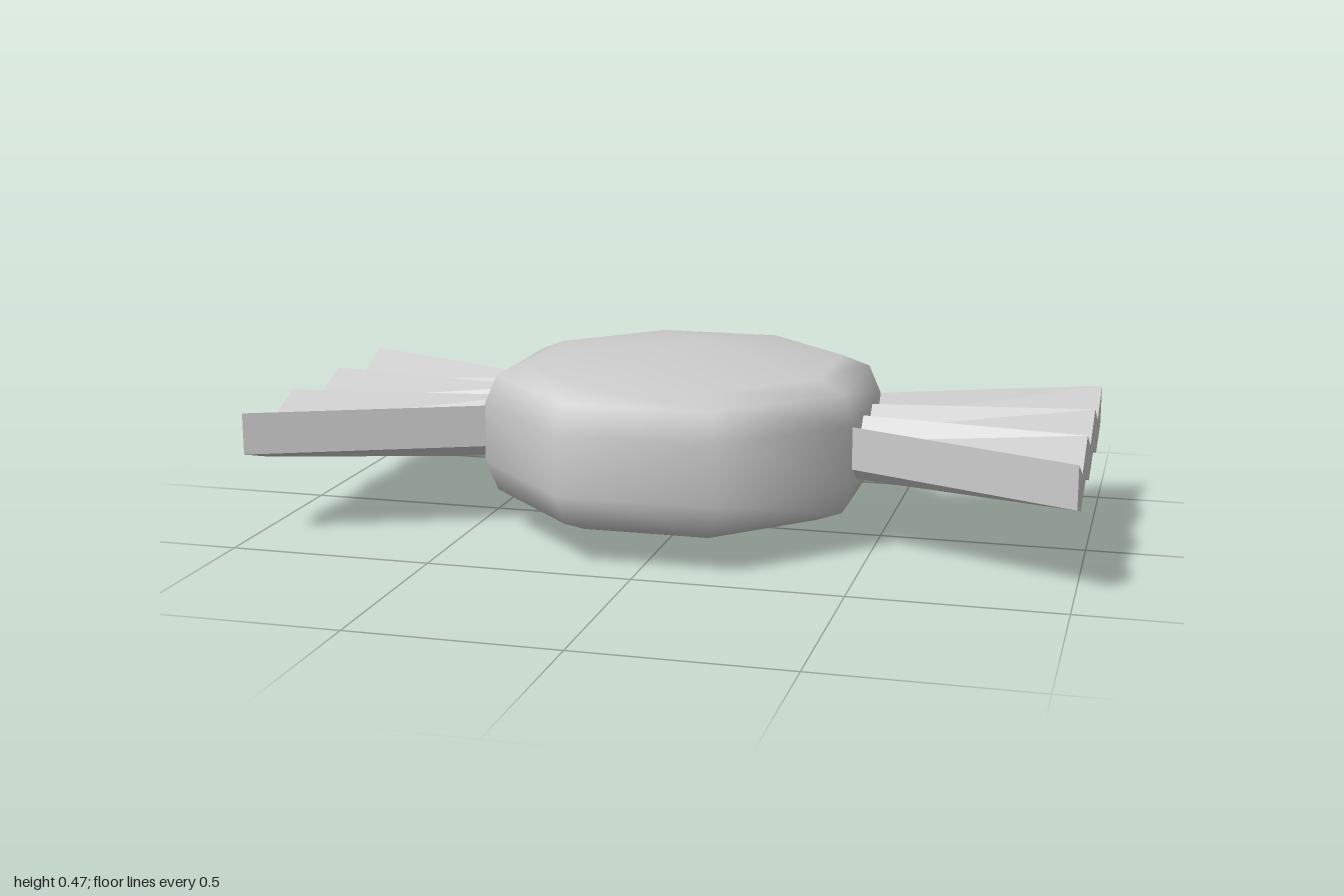
import * as THREE from 'three';
import { mergeVertices } from 'three/addons/utils/BufferGeometryUtils.js';

const material = new THREE.MeshStandardMaterial({ color: 0xcccccc });

// Eight-sided body with smooth shading; profile is [distance to flat side, height]
function makeBody() {
  const profile = [
    [0, 0], [0.368, 0.073], [0.434, 0.102], [0.462, 0.175],
    [0.462, 0.32], [0.434, 0.391], [0.368, 0.42], [0, 0.475],
  ];
  const points = profile.map(([a, y]) => new THREE.Vector2(a / Math.cos(Math.PI / 8), y));
  let geometry = new THREE.LatheGeometry(points, 8, Math.PI / 8);
  geometry.deleteAttribute('uv');
  geometry.deleteAttribute('normal');
  geometry = mergeVertices(geometry, 1e-4);
  geometry.computeVertexNormals();
  const mesh = new THREE.Mesh(geometry, material);
  mesh.name = 'candyBody';
  return mesh;
}

// Pleated wrapper end: a zigzag slab that narrows towards the centre of the body
function makeFan(name) {
  const top = [];
  const bottom = [];
  for (let i = 0; i <= 6; i++) {
    const s = -0.425 + (i * 0.85) / 6;
    const ridge = i % 2 === 0;
    top.push(new THREE.Vector2(s, ridge ? 0.318 : 0.261));
    bottom.push(new THREE.Vector2(s, ridge ? 0.215 : 0.175));
  }
  const shape = new THREE.Shape([...bottom, ...top.reverse()]);
  const geometry = new THREE.ExtrudeGeometry(shape, { depth: 1, steps: 1, bevelEnabled: false });
  const pos = geometry.attributes.position;
  for (let i = 0; i < pos.count; i++) {
    const x = 0.4 + 0.6 * pos.getZ(i);
    pos.setXYZ(i, x, pos.getY(i), -pos.getX(i) * x);
  }
  geometry.computeVertexNormals();
  const mesh = new THREE.Mesh(geometry, material);
  mesh.name = name;
  return mesh;
}

export function createModel() {
  const group = new THREE.Group();
  group.name = 'wrappedCandy';
  const leftFan = makeFan('leftWrapperFan');
  const rightFan = makeFan('rightWrapperFan');
  rightFan.rotation.y = Math.PI;
  group.add(makeBody(), leftFan, rightFan);
  return group;
}
